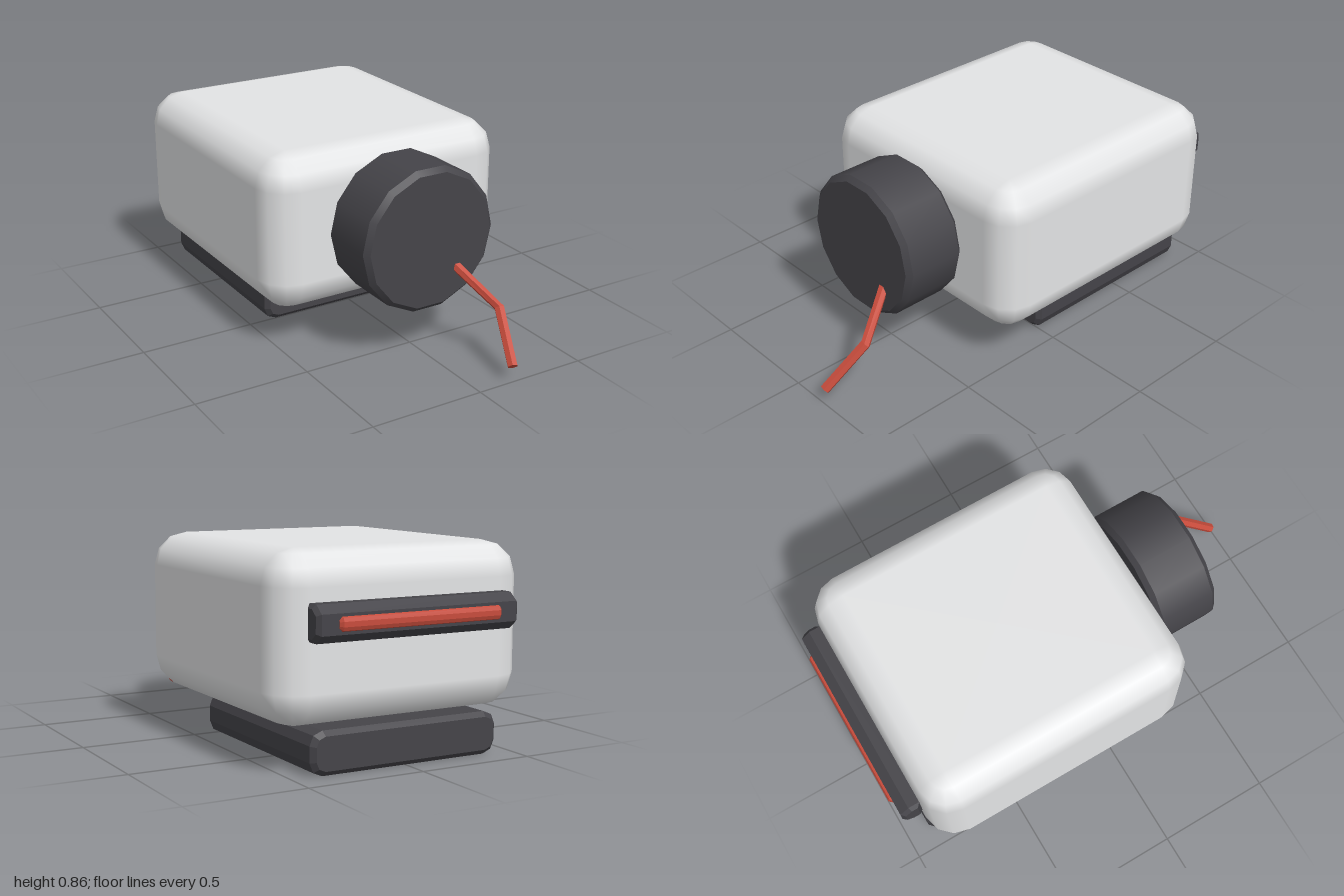
import * as THREE from 'three';

// Smooth rounded box between two corners: edge radius r, n facets per quarter turn
function roundedBox(min, max, r, n) {
  const size = max.map((m, i) => (m - min[i]) / 2);
  const cols = 4 * (n + 1), rows = 2 * n + 3, quarter = Math.PI / 2;
  const geo = new THREE.SphereGeometry(1, cols, rows);
  const pos = geo.attributes.position, nor = geo.attributes.normal;
  for (let iy = 0; iy <= rows; iy++) {
    const pole = iy === 0 || iy === rows;
    const j = THREE.MathUtils.clamp(iy - 1, 0, rows - 2);
    const half = Math.floor(j / (n + 1));
    const v = (half + (j % (n + 1)) / n) * quarter;
    const sy = half === 0 ? 1 : -1;
    for (let ix = 0; ix <= cols; ix++) {
      const c = ix % cols, q = Math.floor(c / (n + 1));
      const u = (q + (c % (n + 1)) / n) * quarter;
      const mid = (q + 0.5) * quarter;
      const sx = -Math.sign(Math.cos(mid)), sz = Math.sign(Math.sin(mid));
      const d = [-Math.cos(u) * Math.sin(v), Math.cos(v), Math.sin(u) * Math.sin(v)];
      const k = iy * (cols + 1) + ix;
      if (pole) pos.setXYZ(k, 0, sy * size[1], 0);
      else pos.setXYZ(k, sx * (size[0] - r) + d[0] * r, sy * (size[1] - r) + d[1] * r, sz * (size[2] - r) + d[2] * r);
      nor.setXYZ(k, ...d);
    }
  }
  return geo.translate(...max.map((m, i) => (m + min[i]) / 2));
}

// Faceted prism along z, centred, with bevelled ends
function prism(points, length, bevel) {
  const shape = new THREE.Shape(points.map(([x, y]) => new THREE.Vector2(x, y)));
  const depth = length - 2 * bevel;
  return new THREE.ExtrudeGeometry(shape, {
    depth, bevelSize: bevel, bevelThickness: bevel, bevelOffset: -bevel, bevelSegments: 1,
  }).translate(0, 0, -depth / 2);
}

// Rectangle outline with corners rounded in two facets
function roundedRect(w, h, r) {
  const points = [];
  [[1, 1], [-1, 1], [-1, -1], [1, -1]].forEach(([sx, sy], q) => {
    for (let i = 0; i <= 2; i++) {
      const a = (q + i / 2) * Math.PI / 2;
      points.push([sx * (w / 2 - r) + r * Math.cos(a), sy * (h / 2 - r) + r * Math.sin(a)]);
    }
  });
  return points;
}

// Bevelled 14-sided drum along z, with hard edges between its bands
function drum(radius, z0, z1, bevel, material) {
  const inner = radius - bevel;
  const outline = [[0, z0], [inner, z0], [radius, z0 + bevel], [radius, z1 - bevel], [inner, z1], [0, z1]];
  const group = new THREE.Group();
  for (let i = 0; i < outline.length - 1; i++) {
    const profile = [outline[i], outline[i + 1]].map(([x, y]) => new THREE.Vector2(x, y));
    const geo = new THREE.LatheGeometry(profile, 14, Math.PI / 2);
    const band = new THREE.Mesh(geo.rotateX(Math.PI / 2), material);
    band.name = 'drumBand';
    group.add(band);
  }
  return group;
}

// Bent six-sided rod with a closed tip
function bentRod(points, radius) {
  const path = new THREE.CurvePath();
  for (let i = 1; i < points.length; i++) path.add(new THREE.LineCurve3(points[i - 1], points[i]));
  const sides = 6, steps = points.length - 1;
  const tube = new THREE.TubeGeometry(path, steps, radius, sides);
  const index = Array.from(tube.index.array), a = steps * (sides + 1);
  for (let j = 1; j < sides - 1; j++) index.push(a, a + j + 1, a + j);
  tube.setIndex(index);
  const geo = tube.toNonIndexed();
  geo.computeVertexNormals();
  return geo;
}

export function createModel() {
  const material = (name, color) => {
    const m = new THREE.MeshStandardMaterial({ color });
    m.name = name;
    return m;
  };
  const grey = material('light grey', 0xe3e4e5);
  const dark = material('charcoal', 0x454449);
  const red = material('red', 0xc84c3c);

  const model = new THREE.Group();
  const add = (name, geo, mat) => {
    const mesh = new THREE.Mesh(geo, mat);
    mesh.name = name;
    model.add(mesh);
  };

  // Main housing on its base
  add('body', roundedBox([-0.57, 0.175, -0.895], [0.57, 0.855, 0.355], 0.14, 3), grey);
  add('base', prism(roundedRect(0.854, 0.175, 0.055), 0.912, 0.02).translate(0, 0.0875, -0.439), dark);

  // Rear bar, chamfered on its outer side, with a glowing strip
  const barProfile = [[-0.045, -0.0725], [0.005, -0.0725], [0.045, -0.04], [0.045, 0.04], [0.005, 0.0725], [-0.045, 0.0725]];
  add('rearBar', prism(barProfile, 0.91, 0.016).rotateY(Math.PI / 2).translate(0, 0.5875, -0.94), dark);
  add('rearStrip', prism(roundedRect(0.06, 0.06, 0.02), 0.73, 0.012).rotateY(Math.PI / 2).translate(0, 0.5875, -0.97), red);

  // Front drum
  const front = drum(0.3125, 0.355, 0.644, 0.022, dark);
  front.name = 'frontDrum';
  front.position.y = 0.517;
  model.add(front);

  // Bent rod hanging from the drum
  const bend = [[0.129, 0.378, 0.629], [0.227, 0.235, 0.81], [0.169, 0.06, 0.985]];
  add('bentRod', bentRod(bend.map((p) => new THREE.Vector3(...p)), 0.022), red);

  return model;
}
